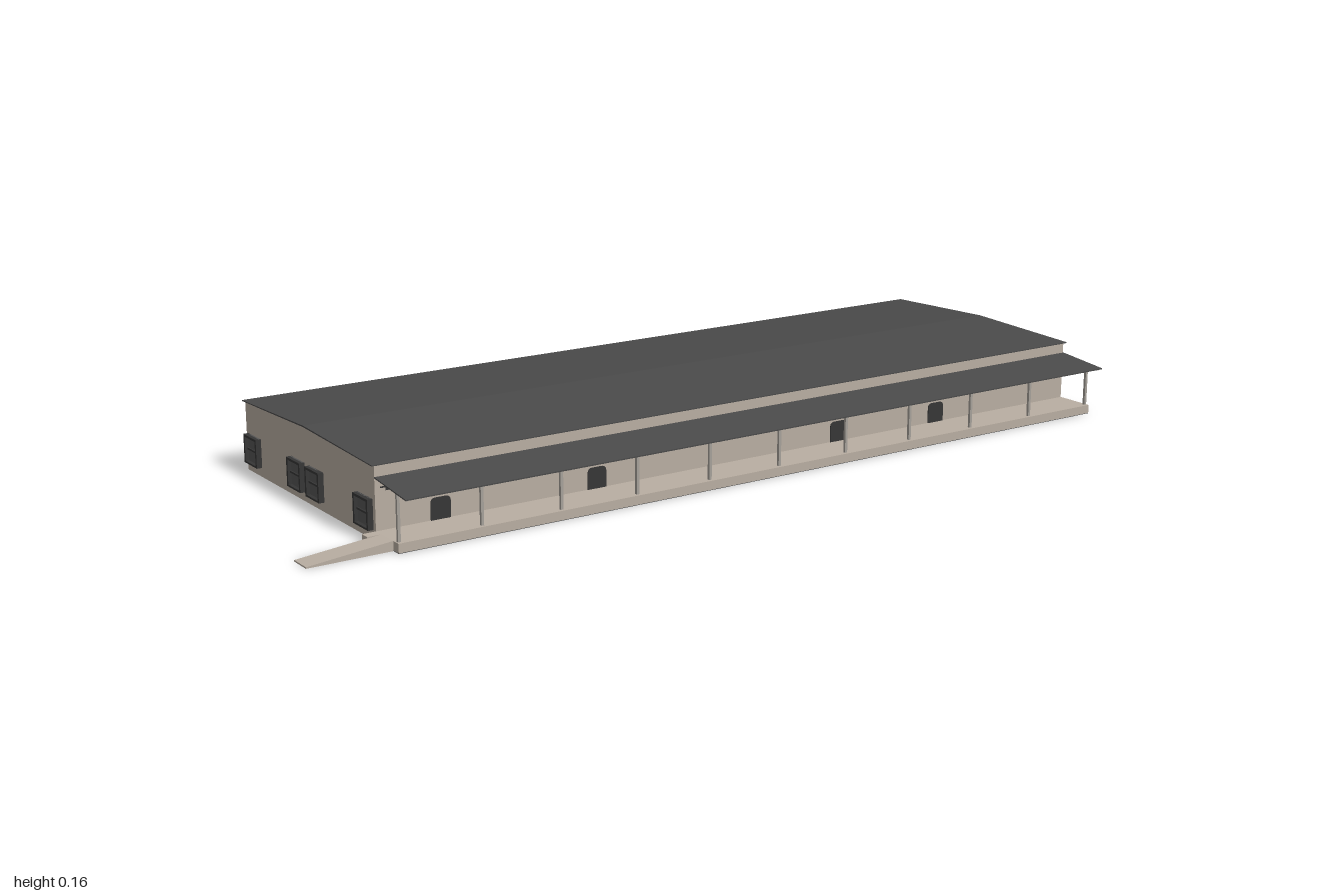
import * as THREE from 'three';

const mat = (name, color, side = THREE.FrontSide) => {
  const m = new THREE.MeshStandardMaterial({ color, side });
  m.name = name;
  return m;
};

export function createModel() {
  const wall = mat('beige wall', 0xb9aea2, THREE.DoubleSide);
  const roofing = mat('dark roofing', 0x4a4a4a, THREE.DoubleSide);
  const frame = mat('charcoal frame', 0x363636);
  const pane = mat('grey door panel', 0x555555);
  const steel = mat('post grey', 0xa6a19a);

  const model = new THREE.Group();
  const X0 = -0.82, X1 = 0.985, Z0 = -0.34, Z1 = 0.248;
  const EAVE = 0.15, RIDGE = 0.161, ZR = (Z0 + Z1) / 2, T = 0.004;

  const add = (name, geo, m, parent = model) => {
    const mesh = new THREE.Mesh(geo, m);
    mesh.name = name;
    parent.add(mesh);
    return mesh;
  };
  // box given by its low and high corners
  const box = (name, x0, x1, y0, y1, z0, z1, m, parent = model) => {
    const b = add(name, new THREE.BoxGeometry(x1 - x0, y1 - y0, z1 - z0), m, parent);
    b.position.set((x0 + x1) / 2, (y0 + y1) / 2, (z0 + z1) / 2);
    return b;
  };
  // outline in (z, y), swept along x from x0 to x1
  const sweepX = (name, pts, x0, x1, m) => {
    const s = new THREE.Shape(pts.map(([z, y]) => new THREE.Vector2(-z, y)));
    const g = new THREE.ExtrudeGeometry(s, { depth: x1 - x0, bevelEnabled: false });
    g.rotateY(Math.PI / 2);
    g.translate(x0, 0, 0);
    return add(name, g, m);
  };

  // Hall shell, open underneath
  box('frontWall', X0, X1, 0, EAVE, Z1 - T, Z1, wall);
  box('backWall', X0, X1, 0, EAVE, Z0, Z0 + T, wall);
  const gable = [[Z0, 0], [Z1, 0], [Z1, EAVE], [ZR, RIDGE - 0.001], [Z0, EAVE]];
  sweepX('rightEndWall', gable, X0, X0 + T, wall);
  sweepX('leftEndWall', gable, X1 - T, X1, wall);

  // Low pitched roof
  sweepX('roof', [[Z0 - 0.003, EAVE], [ZR, RIDGE - 0.001], [Z1 + 0.003, EAVE],
    [Z1 + 0.003, EAVE + 0.002], [ZR, RIDGE + 0.002], [Z0 - 0.003, EAVE + 0.002]],
  X0 - 0.006, X1 + 0.008, roofing);

  // Sloping canopy, rafters and posts
  sweepX('canopy', [[Z1, 0.125], [0.373, 0.112], [0.373, 0.1145], [Z1, 0.1275]], X0, X1 + 0.002, roofing);
  for (let i = 0; i <= 10; i++) {
    const x = X0 + 0.006 + i * 0.1795;
    sweepX('rafter', [[Z1, 0.122], [0.368, 0.1095], [0.368, 0.1125], [Z1, 0.125]], x - 0.002, x + 0.002, steel);
    box('post', x - 0.003, x + 0.003, 0.02, 0.115, 0.326, 0.332, steel);
  }

  // Front platform, with a dark underside, and the ramp at its end
  box('platform', X0, X1, 0.001, 0.02, Z1, 0.339, wall);
  box('platformUnderside', X0, X1, 0, 0.001, Z1, 0.339, roofing);
  box('platformLanding', X0 - 0.03, X0, 0, 0.02, Z1, 0.27, wall);
  const rampShape = new THREE.Shape([[-1, 0], [X0, 0], [X0, 0.02], [-1, 0.003]].map(p => new THREE.Vector2(...p)));
  const ramp = add('ramp', new THREE.ExtrudeGeometry(rampShape, { depth: 0.05, bevelEnabled: false }), wall);
  ramp.position.z = 0.268;

  // Round-headed door, seen from both sides of its wall
  const archDoor = (name, x, y, z, w, h) => {
    const s = new THREE.Shape();
    s.moveTo(-w / 2, 0);
    s.lineTo(w / 2, 0);
    s.lineTo(w / 2, h * 0.75);
    s.quadraticCurveTo(w / 2, h, w / 4, h);
    s.lineTo(-w / 4, h);
    s.quadraticCurveTo(-w / 2, h, -w / 2, h * 0.75);
    const g = new THREE.ExtrudeGeometry(s, { depth: T + 0.004, bevelEnabled: false });
    add(name, g, frame).position.set(x, y, z - 0.002);
  };
  [-0.68, -0.32, 0.308, 0.59].forEach(x => archDoor('frontDoor', x, 0.02, Z1 - T, 0.044, 0.045));
  archDoor('backDoor', 0.127, 0.02, Z0, 0.044, 0.045);
  [0.83, 0.895, 0.955].forEach(x => archDoor('backDoor', x, 0.02, Z0, 0.04, 0.04));

  // High strip windows: a thin head bar over short panes
  const stripWindow = (x, z) => {
    const g = new THREE.Group();
    g.name = 'stripWindow';
    box('windowHead', -0.033, 0.033, 0.104, 0.107, -0.003, 0.003, frame, g);
    for (let k = -1; k <= 1; k++) {
      box('windowPane', k * 0.016 - 0.006, k * 0.016 + 0.006, 0.098, 0.104, -0.003, 0.003, frame, g);
    }
    g.position.set(x, 0, z);
    model.add(g);
  };
  for (let i = 0; i < 20; i++) {
    const x = -0.775 + i * 0.0905;
    if (![1, 5, 12, 16].includes(i)) stripWindow(x, Z1 - T / 2);
    stripWindow(x, Z0 + T / 2);
  }

  // Framed loading doors on the right end
  [-0.3, -0.09, -0.005, 0.207].forEach(z => {
    const g = new THREE.Group();
    g.name = 'loadingDoor';
    const w = 0.028, y0 = 0.02, y1 = 0.082, xa = X0 - 0.012, xb = X0 + T + 0.002;
    box('doorPanel', X0 - 0.004, xb, y0, y1, -w, w, pane, g);
    for (const s of [-1, 1]) box('doorJamb', xa, xb, y0, y1, s * w - 0.003, s * w + 0.003, frame, g);
    box('doorHead', xa, xb, y1 - 0.005, y1, -w, w, frame, g);
    box('doorSill', xa, xb, y0, y0 + 0.004, -w, w, frame, g);
    box('doorRail', X0 - 0.007, X0, 0.049, 0.053, -w, w, frame, g);
    g.position.z = z;
    model.add(g);
  });

  // Back landing on short legs, with steps at its end
  box('landingDeck', 0.8, X1, 0.016, 0.02, -0.357, Z0, wall);
  for (let i = 0; i < 6; i++) {
    const x = 0.815 + i * 0.033;
    box('landingLeg', x - 0.002, x + 0.002, 0, 0.016, -0.355, -0.351, frame);
  }
  box('landingBrace', 0.8, X1, 0.007, 0.01, -0.355, -0.352, frame);
  for (let i = 0; i < 3; i++) {
    const y = 0.003 + i * 0.006;
    box('step', 0.765 + i * 0.015, 0.82, y, y + 0.005, -0.373, Z0, wall);
  }
  box('stepStringer', 0.795, 0.818, 0, 0.015, -0.371, -0.345, frame);

  return model;
}
